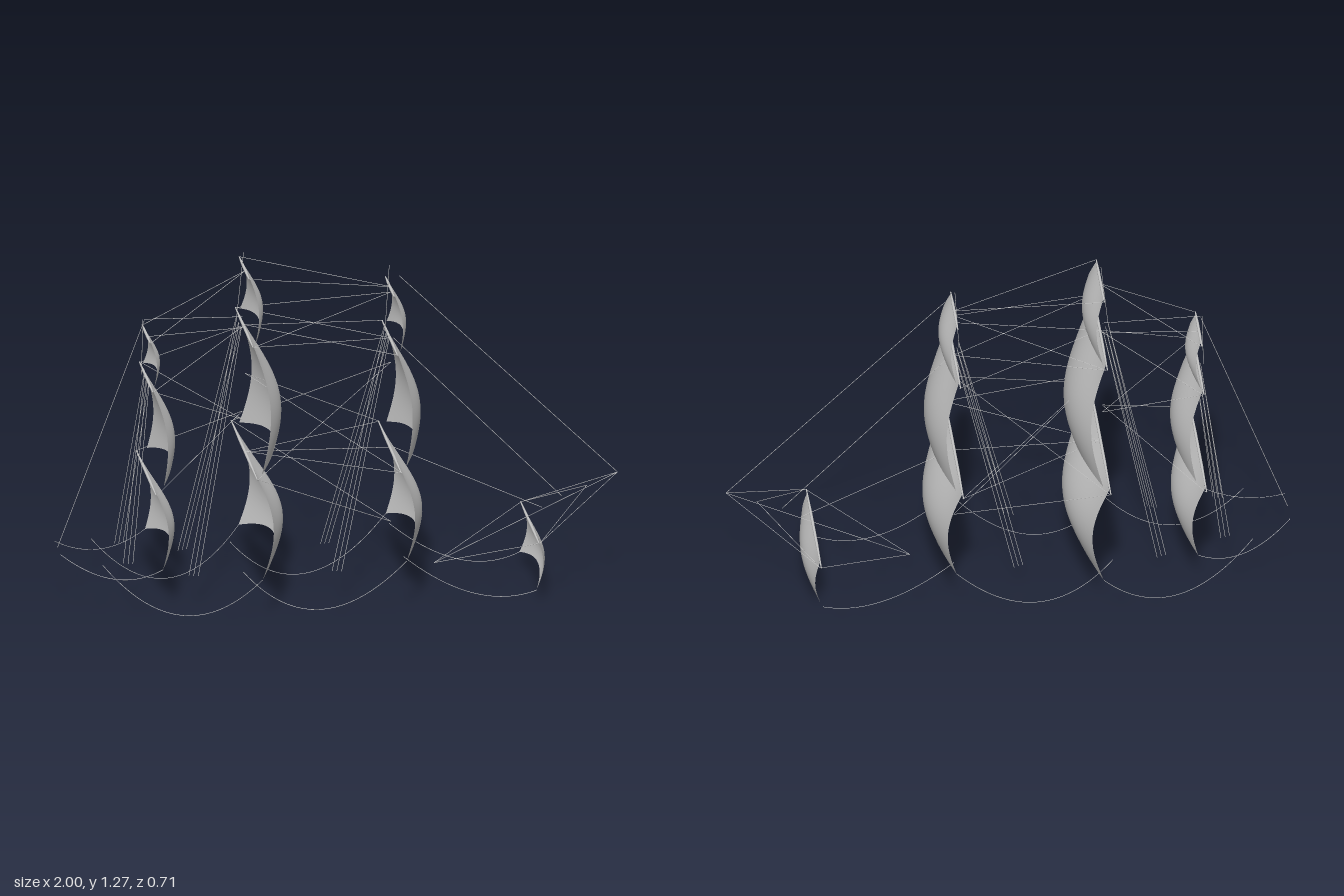
import * as THREE from 'three';

const cloth = new THREE.MeshStandardMaterial({ color: 0xcccccc, side: THREE.DoubleSide });
const spar = new THREE.MeshStandardMaterial({ color: 0xcccccc });
const V = (x, y, z) => new THREE.Vector3(x, y, z);

// Billowing square sail: head on the yard, foot arched between its two lower corners
function sail({ x0, x1, top, foot, w0, w1, belly, arch }) {
  const geo = new THREE.PlaneGeometry(2, 1, 24, 20);
  const p = geo.attributes.position;
  for (let i = 0; i < p.count; i++) {
    const u = p.getX(i), v = 0.5 - p.getY(i), mid = 1 - u * u;
    const x = x0 + (x1 - x0) * v + 0.38 * belly * Math.sin(Math.PI * v)
      + 0.65 * belly * mid * Math.sin(Math.PI * v / 2);
    const y = top + (foot - top) * v + arch * mid * v * v;
    p.setXYZ(i, x, y, -u * (w0 + (w1 - w0) * v));
  }
  geo.computeVertexNormals();
  return new THREE.Mesh(geo, cloth);
}

// Yard: spar tapering to both ends
function yard(x, y, half) {
  const profile = [[0, -half], [0.002, -half], [0.005, -half * 0.4], [0.005, half * 0.4], [0.002, half], [0, half]];
  const geo = new THREE.LatheGeometry(profile.map(([r, h]) => new THREE.Vector2(r, h)), 8);
  geo.rotateX(Math.PI / 2).translate(x - 0.003, y, 0);
  return new THREE.Mesh(geo, spar);
}

export function createModel() {
  const group = new THREE.Group();
  const add = (mesh, name) => { mesh.name = name; group.add(mesh); };

  // Straight rope
  const rope = (name, a, b) => {
    const geo = new THREE.TubeGeometry(new THREE.LineCurve3(V(...a), V(...b)), 1, 0.001, 4);
    add(new THREE.Mesh(geo, spar), name);
  };
  // Pair of ropes mirrored across z
  const ropePair = (name, a, b) => {
    for (const s of [1, -1]) rope(name, [a[0], a[1], s * a[2]], [b[0], b[1], s * b[2]]);
  };

  // Sails: x0, x1, top, foot, half widths of head and foot, belly, foot arch, half yard
  const sails = {
    mizzenCourse: [-0.68, -0.655, 0.465, 0.18, 0.245, 0.245, 0.085, 0.045, 0.27],
    mizzenTopsail: [-0.68, -0.65, 0.82, 0.485, 0.155, 0.23, 0.085, 0.04, 0.18],
    mizzenTopgallant: [-0.68, -0.675, 0.98, 0.825, 0.09, 0.15, 0.045, 0.025, 0.11],
    mainCourse: [-0.33, -0.31, 0.535, 0.155, 0.325, 0.33, 0.13, 0.065, 0.355],
    mainTopsail: [-0.33, -0.31, 0.99, 0.54, 0.21, 0.31, 0.125, 0.045, 0.24],
    mainTopgallant: [-0.33, -0.32, 1.21, 0.995, 0.12, 0.21, 0.06, 0.025, 0.135],
    foreCourse: [0.19, 0.21, 0.525, 0.19, 0.285, 0.285, 0.105, 0.05, 0.31],
    foreTopsail: [0.19, 0.21, 0.93, 0.535, 0.18, 0.27, 0.1, 0.04, 0.21],
    foreTopgallant: [0.19, 0.2, 1.12, 0.935, 0.105, 0.185, 0.05, 0.028, 0.12],
    spritsail: [0.69, 0.68, 0.225, 0.045, 0.22, 0.23, 0.055, 0.03, 0.25],
  };
  for (const [name, [x0, x1, top, foot, w0, w1, belly, arch, half]] of Object.entries(sails)) {
    add(sail({ x0, x1, top, foot, w0, w1, belly, arch }), name);
    add(yard(x0, top, half), name + 'Yard');
  }

  // Shrouds: three to a side, from hull to mast
  const shrouds = [
    [-0.78, 0.17, 0.12, -0.69, 0.83],
    [-0.55, 0.125, 0.15, -0.36, 1.03],
    [-0.04, 0.125, 0.16, 0.17, 0.98],
  ];
  for (const [x, y, z, tx, ty] of shrouds)
    for (let i = 0; i < 3; i++)
      ropePair('shroud', [x + i * 0.016, y, z + i * 0.006], [tx + i * 0.008, ty - i * 0.02, 0.006]);

  // Stays along the centre line
  const stays = [
    [-1, 0.2, -0.69, 1.03], [-0.69, 1.035, -0.34, 1.03], [-0.695, 1.035, -0.7, 0.83],
    [-0.68, 0.97, -0.33, 0.99], [-0.335, 1.27, -0.36, 1.03], [-0.33, 0.53, 0.19, 0.525],
    [0.185, 1.2, 0.17, 0.96], [0.22, 1.16, 1, 0.4], [0.2, 0.93, 0.8, 0.32],
    [0.2, 0.525, 0.73, 0.28], [0.345, 0.09, 1, 0.4],
  ];
  for (const [ax, ay, bx, by] of stays) rope('stay', [ax, ay, 0], [bx, by, 0]);

  // Braces: from yard ends to the neighbouring mast
  const braces = [
    [-0.68, 0.98, 0.11, -0.33, 1.2], [-0.68, 0.82, 0.18, -0.33, 1.0],
    [-0.68, 0.82, 0.18, -0.34, 0.65], [-0.68, 0.465, 0.27, -0.34, 0.68],
    [-0.33, 1.21, 0.135, 0.19, 1.12], [-0.33, 0.99, 0.24, 0.19, 1.1],
    [-0.33, 0.99, 0.24, 0.19, 0.93], [-0.33, 0.535, 0.355, 0.19, 0.84],
    [-0.33, 0.535, 0.355, 0.19, 0.25], [0.19, 0.93, 0.21, -0.33, 1.0],
    [0.19, 0.525, 0.31, -0.33, 0.82], [0.19, 0.525, 0.31, -0.33, 0.53],
    [0.69, 0.225, 0.25, 1, 0.4], [0.69, 0.225, 0.25, 0.89, 0.355],
    [0.69, 0.225, 0.25, 0.345, 0.09],
  ];
  for (const [x, y, z, mx, my] of braces) ropePair('brace', [x, y, z], [mx, my, 0]);

  // Sheets: slack ropes hanging from the lower sail corners
  const sheets = [
    [[-1, 0.2, 0.08], [-0.82, 0.075, 0.2], [-0.655, 0.18, 0.245]],
    [[-0.86, 0.18, 0.16], [-0.58, -0.166, 0.2], [-0.31, 0.155, 0.33]],
    [[-0.36, 0.14, 0.18], [-0.1, -0.163, 0.2], [0.21, 0.19, 0.285]],
    [[0.21, 0.18, 0.2], [0.47, -0.04, 0.19], [0.68, 0.045, 0.23]],
  ];
  for (const pts of sheets)
    for (const s of [1, -1]) {
      const curve = new THREE.QuadraticBezierCurve3(...pts.map(([x, y, z]) => V(x, y, s * z)));
      add(new THREE.Mesh(new THREE.TubeGeometry(curve, 24, 0.001, 4), spar), 'sheet');
    }

  return group;
}
